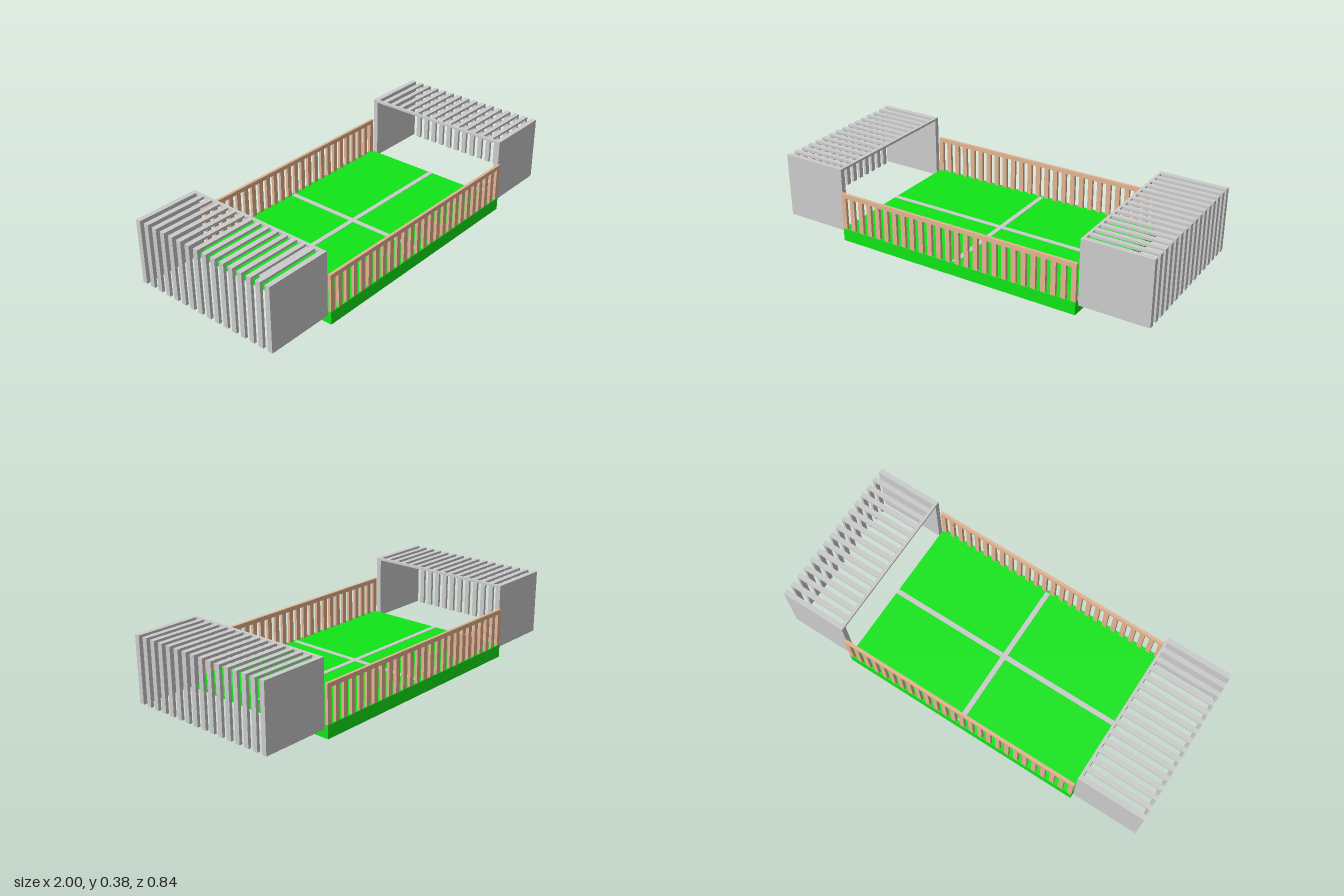
import * as THREE from 'three';

const grey = new THREE.MeshStandardMaterial({ color: 0xcccccc });
const green = new THREE.MeshStandardMaterial({ color: 0x10e618 });
const tan = new THREE.MeshStandardMaterial({ color: 0xe4b492 });

// Box given by its minimum and maximum along each axis
function box(name, material, [x0, x1], [y0, y1], [z0, z1]) {
  const mesh = new THREE.Mesh(new THREE.BoxGeometry(x1 - x0, y1 - y0, z1 - z0), material);
  mesh.position.set((x0 + x1) / 2, (y0 + y1) / 2, (z0 + z1) / 2);
  mesh.name = name;
  return mesh;
}

// Goal cage at the +x end: solid sides, slatted roof and back, open front and floor
function createGoal(name) {
  const goal = new THREE.Group();
  goal.name = name;
  const x0 = 0.655, x1 = 1, y0 = 0.045, y1 = 0.375, half = 0.405;
  const slat = 0.026, roof = 0.012, back = 0.015, count = 16;
  const pitch = (2 * half - slat) / (count - 1);
  for (let i = 0; i < count; i++) {
    const z = -half + i * pitch;
    const span = [z, z + slat];
    if (i === 0 || i === count - 1) {
      goal.add(box('goalSide', grey, [x0, x1], [y0, y1], span));
    } else {
      goal.add(box('roofSlat', grey, [x0 + 0.015, x1], [y1 - roof, y1], span));
      goal.add(box('backSlat', grey, [x1 - back, x1], [y0, y1 - roof], span));
    }
  }
  goal.add(box('crossbar', grey, [x0, x0 + 0.015], [y1 - roof, y1], [-half + slat, half - slat]));
  return goal;
}

// Picket fence along one long side
function createFence(name, z0, z1) {
  const fence = new THREE.Group();
  fence.name = name;
  const half = 0.65, post = 0.025, count = 26;
  const pitch = (2 * half - post) / (count - 1);
  for (let i = 0; i < count; i++) {
    const x = -half + i * pitch;
    fence.add(box('picket', tan, [x, x + post], [0.065, 0.235], [z0, z1]));
  }
  fence.add(box('topRail', tan, [-half, half], [0.235, 0.257], [z0, z1]));
  return fence;
}

export function createModel() {
  const model = new THREE.Group();
  model.name = 'playingField';

  // Turf slab with its marking lines
  model.add(box('turf', green, [-0.65, 0.65], [0, 0.065], [-0.42, 0.42]));
  model.add(box('centreLine', grey, [-0.013, 0.013], [0.064, 0.067], [-0.405, 0.405]));
  for (const s of [-1, 1]) {
    model.add(box('longLine', grey, s < 0 ? [-0.65, -0.013] : [0.013, 0.65], [0.064, 0.067], [-0.018, 0.008]));
  }

  // Fences and goals
  model.add(createFence('frontFence', 0.405, 0.42));
  model.add(createFence('backFence', -0.42, -0.405));
  model.add(createGoal('leftGoal'));
  const rightGoal = createGoal('rightGoal');
  rightGoal.rotation.y = Math.PI;
  model.add(rightGoal);
  return model;
}
